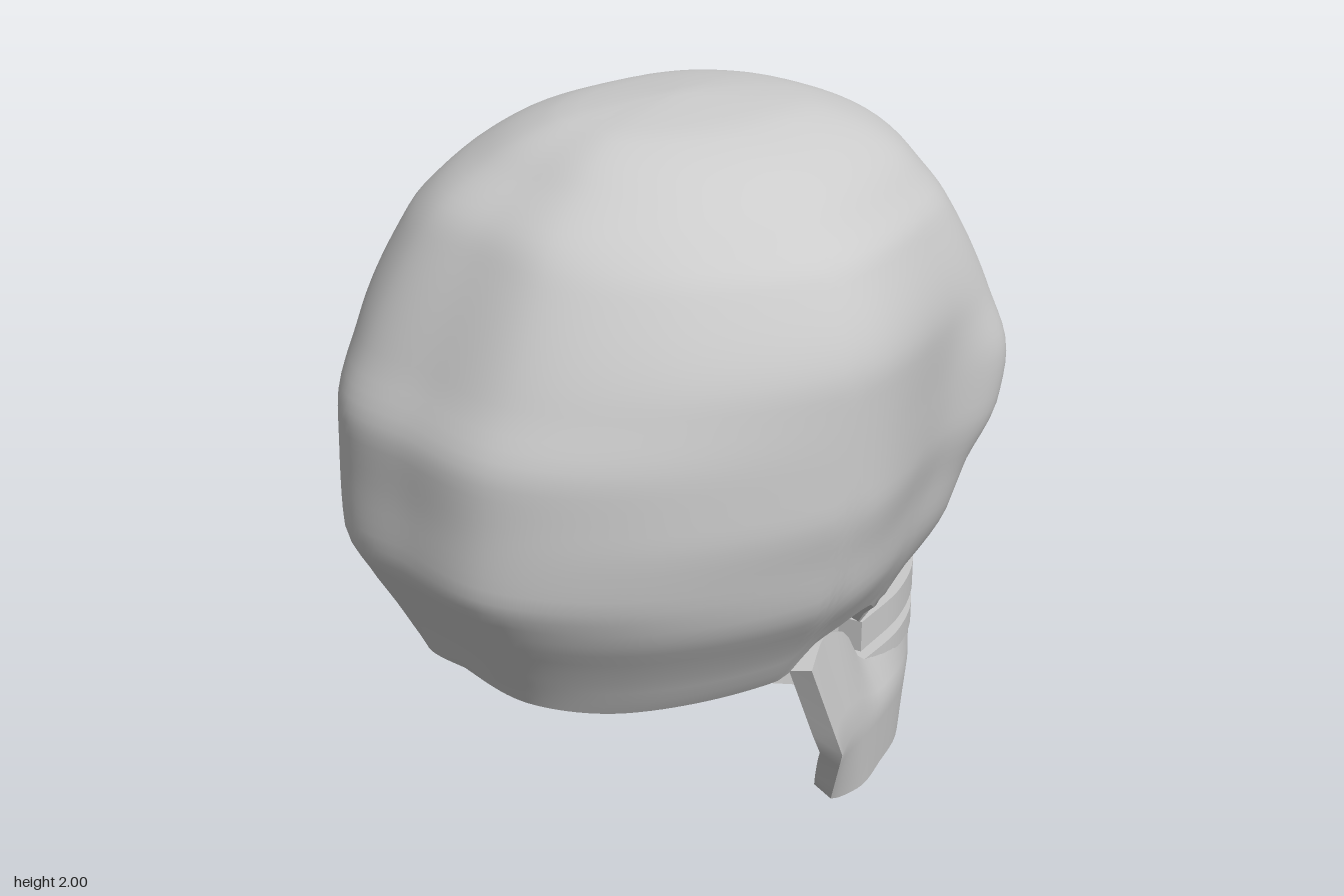
import * as THREE from 'three';
import { mergeVertices, toCreasedNormals } from 'three/addons/utils/BufferGeometryUtils.js';

const bone = new THREE.MeshStandardMaterial({ color: 0xcccccc });
const V = (x, y, z) => new THREE.Vector3(x, y, z);
const clamp = THREE.MathUtils.clamp;

// Smooth lookup without overshoot: rows are [key, ...values], sorted by key.
function lookup(rows, key) {
  let i = 0;
  while (i < rows.length - 2 && key > rows[i + 1][0]) i++;
  const [a, b] = [rows[i], rows[i + 1]], h = b[0] - a[0];
  const t = clamp((key - a[0]) / h, 0, 1);
  const slope = (n, k) => (rows[n + 1][k] - rows[n][k]) / (rows[n + 1][0] - rows[n][0]);
  const tangent = (n, k) => {
    if (n === 0) return slope(0, k);
    if (n === rows.length - 1) return slope(n - 1, k);
    const [s, e] = [slope(n - 1, k), slope(n, k)];
    return s * e <= 0 ? 0 : 2 * s * e / (s + e);
  };
  return a.slice(1).map((v, c) => {
    const k = c + 1, w = t * t * (3 - 2 * t);
    return v + (b[k] - v) * w + h * t * (1 - t) * ((1 - t) * tangent(i, k) - t * tangent(i + 1, k));
  });
}

// Closed shell of even thickness from surface(u, v), sampled at grid(i, j) = [u, v].
// A triangle with all corners cut is left open.
function shell(name, nu, nv, grid, surface, thickness, cut = () => false) {
  const pos = [], nor = [], idx = [], e = 0.005;
  for (let j = 0; j <= nv; j++)
    for (let i = 0; i <= nu; i++) {
      const [u, v] = grid(i, j);
      const n = surface(u + e, v).sub(surface(u - e, v)).cross(surface(u, v + e).sub(surface(u, v - e)));
      if (n.length() < 1e-9) n.set(0, 1, 0);
      pos.push(...surface(u, v).toArray());
      nor.push(...n.normalize().toArray());
    }
  for (let j = 0; j < nv; j++)
    for (let i = 0; i < nu; i++) {
      const [a, b, c, d] = [[i, j], [i + 1, j], [i + 1, j + 1], [i, j + 1]];
      for (const tri of [[a, b, c], [a, c, d]])
        if (!tri.every(([x, y]) => cut(x, y))) idx.push(...tri.map(([x, y]) => y * (nu + 1) + x));
    }
  let g = new THREE.BufferGeometry();
  g.setAttribute('position', new THREE.Float32BufferAttribute(pos, 3));
  g.setAttribute('normal', new THREE.Float32BufferAttribute(nor, 3));
  g.setIndex(idx);
  g = mergeVertices(g, 1e-4);
  const p = g.attributes.position, n = g.attributes.normal, count = p.count;
  const verts = Array.from(p.array), tris = [], outer = [], edges = new Set();
  for (let k = 0; k < count * 3; k++) verts.push(p.array[k] - n.array[k] * thickness);
  const src = g.index.array;
  for (let k = 0; k < src.length; k += 3) {
    const [a, b, c] = [src[k], src[k + 1], src[k + 2]];
    if (a === b || b === c || c === a) continue;
    outer.push([a, b, c]);
    for (const [s, t] of [[a, b], [b, c], [c, a]]) edges.add(s + '_' + t);
  }
  for (const [a, b, c] of outer) {
    tris.push(a, b, c, c + count, b + count, a + count);
    // walls along every open edge
    for (const [s, t] of [[a, b], [b, c], [c, a]])
      if (!edges.has(t + '_' + s)) tris.push(t, s, s + count, t, s + count, t + count);
  }
  const out = new THREE.BufferGeometry();
  out.setAttribute('position', new THREE.Float32BufferAttribute(verts, 3));
  out.setIndex(tris);
  const mesh = new THREE.Mesh(toCreasedNormals(out, 0.8), bone);
  mesh.name = name;
  return mesh;
}

// Cranium cross-sections: y, back depth, width, temple width, brow x, brow depth, front depth
const LEVELS = [
  [0.52, 0.68, 0.48, 0.32, 0.22, 0.61, 0.86],
  [0.60, 0.70, 0.50, 0.36, 0.24, 0.60, 0.86],
  [0.66, 0.72, 0.54, 0.42, 0.28, 0.58, 0.85],
  [0.72, 0.75, 0.57, 0.46, 0.35, 0.55, 0.80],
  [0.80, 0.79, 0.62, 0.51, 0.43, 0.52, 0.77],
  [0.90, 0.845, 0.68, 0.55, 0.49, 0.51, 0.76],
  [1.02, 0.90, 0.705, 0.57, 0.52, 0.53, 0.77],
  [1.18, 0.89, 0.735, 0.60, 0.55, 0.61, 0.80],
  [1.31, 0.885, 0.735, 0.605, 0.545, 0.64, 0.82],
  [1.47, 0.81, 0.735, 0.61, 0.50, 0.61, 0.80],
  [1.72, 0.67, 0.64, 0.55, 0.44, 0.50, 0.68],
  [1.79, 0.62, 0.57, 0.50, 0.40, 0.46, 0.63],
  [1.87, 0.51, 0.48, 0.43, 0.35, 0.40, 0.56],
  [1.97, 0.32, 0.26, 0.25, 0.20, 0.25, 0.34],
  [1.995, 0.10, 0.07, 0.07, 0.06, 0.09, 0.14],
  [2.00, 0, 0, 0, 0, 0, 0],
];
// Lower rim height around the half outline (0 = back, 8 = front)
const RIM = [[0, 0.68], [1, 0.65], [2, 0.62], [3.5, 0.63], [3.85, 0.75], [4.2, 0.77],
  [4.6, 0.72], [5, 0.53], [8, 0.52]];
// Nose bone projection by height
const NOSE = [[0.71, 0], [0.81, 0.06], [0.91, 0.115], [1.0, 0.13], [1.17, 0]];
// Openings in outline/height space: u, y, ru, ry
const HOLES = [[6.55, 1.065, 0.57, 0.155], [9.45, 1.065, 0.57, 0.155], [8, 0.875, 0.36, 0.095]];

function craniumPoint(u, height) {
  const y = Math.min(height, 2);
  const [B, W, T, E, G, F] = lookup(LEVELS, y);
  const half = [[0, B], [0.37 * W, 0.97 * B], [0.71 * W, 0.73 * B], [0.945 * W, 0.36 * B],
    [W, 0.08 * W], [T, -0.42 * F], [E, -G], [0.48 * E, -G - (F - G) * 0.83], [0, -F]];
  const ring = [...half, ...half.slice(1, 8).reverse().map(([x, z]) => [-x, z])];
  const p = new THREE.CatmullRomCurve3(ring.map(([x, z]) => V(x, y, z)), true).getPoint(((u + 16) % 16) / 16);
  if (p.z < 0) p.z -= lookup(NOSE, y)[0] * Math.max(0, 1 - (p.x / 0.15) ** 4);
  return p;
}

function cranium() {
  const nu = 160, nv = 56;
  const base = (i, j) => {
    const u = (i % nu) / 10, low = lookup(RIM, Math.min(u, 16 - u))[0];
    return [u, 2 - (2 - low) * (1 - j / nv) ** 1.6];
  };
  const reach = (u, y, [cu, cy, ru, ry]) => Math.max(1e-3, Math.hypot((u - cu) / ru, (y - cy) / ry));
  const holeAt = (u, y) => HOLES.find(h => reach(u, y, h) < 1);
  // grid points inside an opening move out onto its edge
  const grid = (i, j) => {
    const [u, y] = base(i, j), h = holeAt(u, y);
    if (!h) return [u, y];
    const d = reach(u, y, h);
    return [h[0] + (u - h[0]) / d, h[1] + (y - h[1]) / d];
  };
  return shell('cranium', nu, nv, grid, craniumPoint, 0.05, (i, j) => holeAt(...base(i, j)) !== undefined);
}

// Mirrored loft through half-curves running from the left rear to the front middle.
function loft(name, rows, thickness) {
  const nu = 48, spans = rows.length - 1, nv = spans * 4;
  const curves = rows.map(r => {
    const pts = r.map(p => V(...p));
    return new THREE.CatmullRomCurve3([...pts, ...pts.slice(0, -1).reverse().map(p => V(-p.x, p.y, p.z))]);
  });
  const surface = (s, t) => {
    const u = clamp(s, 0, 1), v = clamp(t, 0, 1) * spans, k = Math.min(Math.floor(v), spans - 1);
    return curves[k].getPoint(u).lerp(curves[k + 1].getPoint(u), v - k);
  };
  return shell(name, nu, nv, (i, j) => [i / nu, j / nv], surface, thickness);
}

// Row of teeth: the same arch at a lower and an upper height, each [rear, front].
function teeth(name, low, high, thickness) {
  const arch = [[0.33, -0.365], [0.26, -0.6], [0.14, -0.79], [0, -0.89]];
  const row = ([rear, front]) => arch.map(([x, z], i) => [x, rear + (front - rear) * i / 3, z]);
  return loft(name, [row(low), row(high)], thickness);
}

export function createModel() {
  const skull = new THREE.Group();
  skull.name = 'skull';
  skull.add(cranium());
  skull.add(teeth('upperTeeth', [0.44, 0.43], [0.53, 0.51], 0.07));
  skull.add(teeth('lowerTeeth', [0.355, 0.30], [0.405, 0.37], 0.05));
  // lower jaw: bottom edge, widest line, top edge
  skull.add(loft('lowerJaw', [
    [[0.45, 0.13, -0.13], [0.43, 0.10, -0.19], [0.41, 0.08, -0.3], [0.34, 0.06, -0.45],
      [0.24, 0.025, -0.63], [0.11, 0.005, -0.78], [0, 0.01, -0.85]],
    [[0.54, 0.33, -0.07], [0.50, 0.33, -0.14], [0.45, 0.32, -0.25], [0.37, 0.28, -0.42],
      [0.26, 0.25, -0.63], [0.13, 0.22, -0.79], [0, 0.20, -0.87]],
    [[0.54, 0.63, 0.055], [0.48, 0.66, -0.05], [0.43, 0.61, -0.18], [0.33, 0.41, -0.38],
      [0.25, 0.37, -0.61], [0.13, 0.36, -0.79], [0, 0.36, -0.87]],
  ], 0.06));
  return skull;
}
